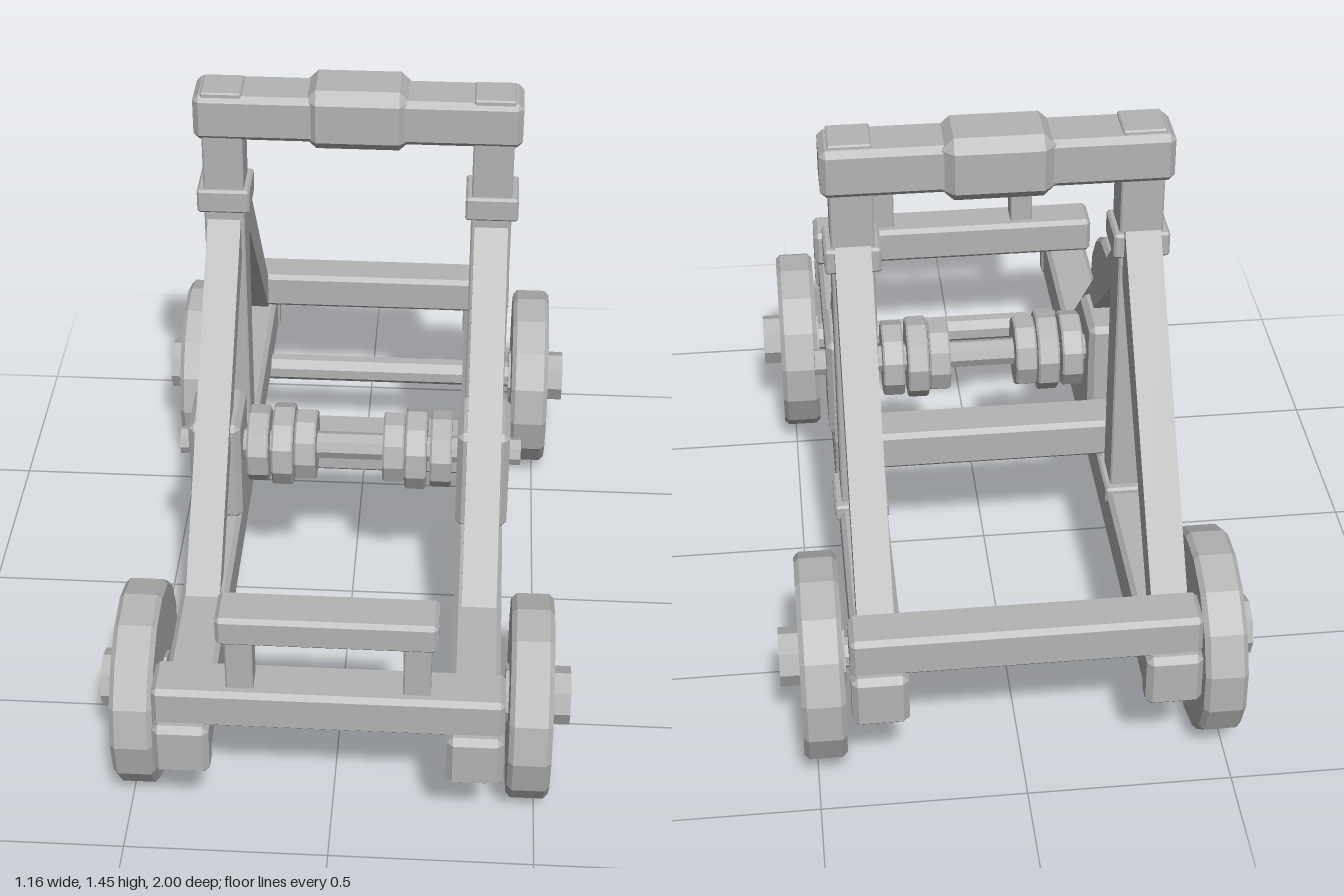
import * as THREE from 'three';
import { ConvexGeometry } from 'three/addons/geometries/ConvexGeometry.js';

export function createModel() {
  const model = new THREE.Group();
  model.name = 'siegeEngine';
  const timber = new THREE.MeshStandardMaterial({ color: 0xb4b4b4, flatShading: true });
  timber.name = 'grey timber';

  const add = (name, geometry) => {
    const mesh = new THREE.Mesh(geometry, timber);
    mesh.name = name;
    model.add(mesh);
    return mesh;
  };

  // Beam with chamfered edges, given by its extents on each axis
  const beam = (name, x, y, z, c = 0.01) => {
    const h = [x, y, z].map(([a, b]) => (b - a) / 2);
    const points = [];
    for (const sx of [-1, 1]) for (const sy of [-1, 1]) for (const sz of [-1, 1]) {
      for (let full = 0; full < 3; full++) {
        const d = h.map((v, i) => (i === full ? v : v - c));
        points.push(new THREE.Vector3(sx * d[0], sy * d[1], sz * d[2]));
      }
    }
    const mesh = add(name, new ConvexGeometry(points));
    mesh.position.set((x[0] + x[1]) / 2, (y[0] + y[1]) / 2, (z[0] + z[1]) / 2);
    return mesh;
  };

  // The same beam on the left and on the right
  const pair = (name, x, y, z, c) => {
    beam(name + 'Left', x, y, z, c);
    beam(name + 'Right', [-x[1], -x[0]], y, z, c);
  };

  // Faceted disc or rod lying along x
  const disc = (name, x0, x1, radius, y, z, sides, bevel = 0) => {
    const w = (x1 - x0) / 2;
    const profile = [[0, -w], [radius - bevel, -w], [radius, -w + bevel], [radius, w - bevel], [radius - bevel, w], [0, w]]
      .filter((p, i) => bevel > 0 || (i !== 2 && i !== 3))
      .map(([r, h]) => new THREE.Vector2(r, h));
    const geometry = new THREE.LatheGeometry(profile, sides);
    geometry.rotateZ(-Math.PI / 2);
    const mesh = add(name, geometry);
    mesh.position.set((x0 + x1) / 2, y, z);
    return mesh;
  };

  // Diagonal braces, cut from a (z, y) outline
  const brace = (name, outline, x0, x1) => {
    const shape = new THREE.Shape(outline.map(([z, y]) => new THREE.Vector2(-z, y)));
    for (const side of [1, -1]) {
      const geometry = new THREE.ExtrudeGeometry(shape, { depth: x1 - x0, bevelEnabled: false });
      geometry.rotateY(Math.PI / 2);
      const mesh = add(name + (side > 0 ? 'Left' : 'Right'), geometry);
      mesh.position.x = side > 0 ? x0 : -x1;
    }
  };

  // Chassis
  pair('sideRail', [0.285, 0.405], [0.26, 0.39], [-0.99, 0.99], 0.012);
  pair('frontRailCap', [0.28, 0.415], [0.257, 0.4], [0.93, 1], 0.015);
  pair('rearRailCap', [0.28, 0.415], [0.257, 0.4], [-1, -0.93], 0.015);
  beam('frontCrossBeam', [-0.415, 0.415], [0.388, 0.495], [0.855, 0.975], 0.012);
  beam('rearCrossBeam', [-0.415, 0.415], [0.388, 0.495], [-0.975, -0.86], 0.012);
  beam('middleCrossBeam', [-0.405, 0.405], [0.385, 0.493], [-0.17, -0.05], 0.012);

  // Front handle
  beam('handleBar', [-0.258, 0.255], [0.638, 0.717], [0.86, 0.97], 0.01);
  pair('handlePost', [0.175, 0.24], [0.48, 0.65], [0.883, 0.95], 0.004);

  // Upright frame
  pair('upright', [0.295, 0.4], [0.38, 1.44], [-0.32, -0.212], 0.004);
  pair('uprightFoot', [0.28, 0.418], [0.36, 0.405], [-0.342, -0.19], 0.006);
  pair('uprightCollar', [0.28, 0.417], [1.097, 1.163], [-0.332, -0.2], 0.006);
  beam('topBeam', [-0.42, 0.42], [1.308, 1.432], [-0.342, -0.202], 0.015);
  beam('topPad', [-0.136, 0.136], [1.288, 1.453], [-0.365, -0.19], 0.03);

  brace('frontBrace', [[-0.215, 1.075], [0.507, 0.385], [0.42, 0.385], [-0.215, 0.96]], 0.305, 0.392);
  brace('rearBrace', [[-0.315, 1.16], [-0.335, 1.175], [-0.9, 0.45], [-0.9, 0.385], [-0.86, 0.385], [-0.315, 1.04]], 0.305, 0.392);

  // Winch
  pair('winchBlock', [0.28, 0.415], [0.385, 0.682], [-0.012, 0.177], 0.015);
  disc('winchAxle', -0.445, 0.445, 0.036, 0.57, 0.08, 8);
  for (const side of [1, -1]) {
    [[0.115, 0.095], [0.173, 0.108], [0.238, 0.1]].forEach(([x, r], i) => {
      disc('winchDrum' + (side > 0 ? 'Left' : 'Right') + (i + 1),
        side * x - 0.028, side * x + 0.028, r, 0.57, 0.08, 10, 0.005).rotation.x = 0.2 * i;
    });
  }

  // Wheels, hubs and axles
  for (const [end, z] of [['front', 0.67], ['rear', -0.73]]) {
    disc(end + 'Axle', -0.45, 0.45, 0.038, 0.26, z, 8).rotation.x = Math.PI / 8;
    for (const side of [1, -1]) {
      const label = end + (side > 0 ? 'Left' : 'Right');
      disc(label + 'Wheel', side * 0.48 - 0.052, side * 0.48 + 0.052, 0.253, 0.258, z, 15, 0.012);
      disc(label + 'Hub', side * 0.5 - 0.08, side * 0.5 + 0.08, 0.072, 0.26, z, 8);
    }
  }

  return model;
}
